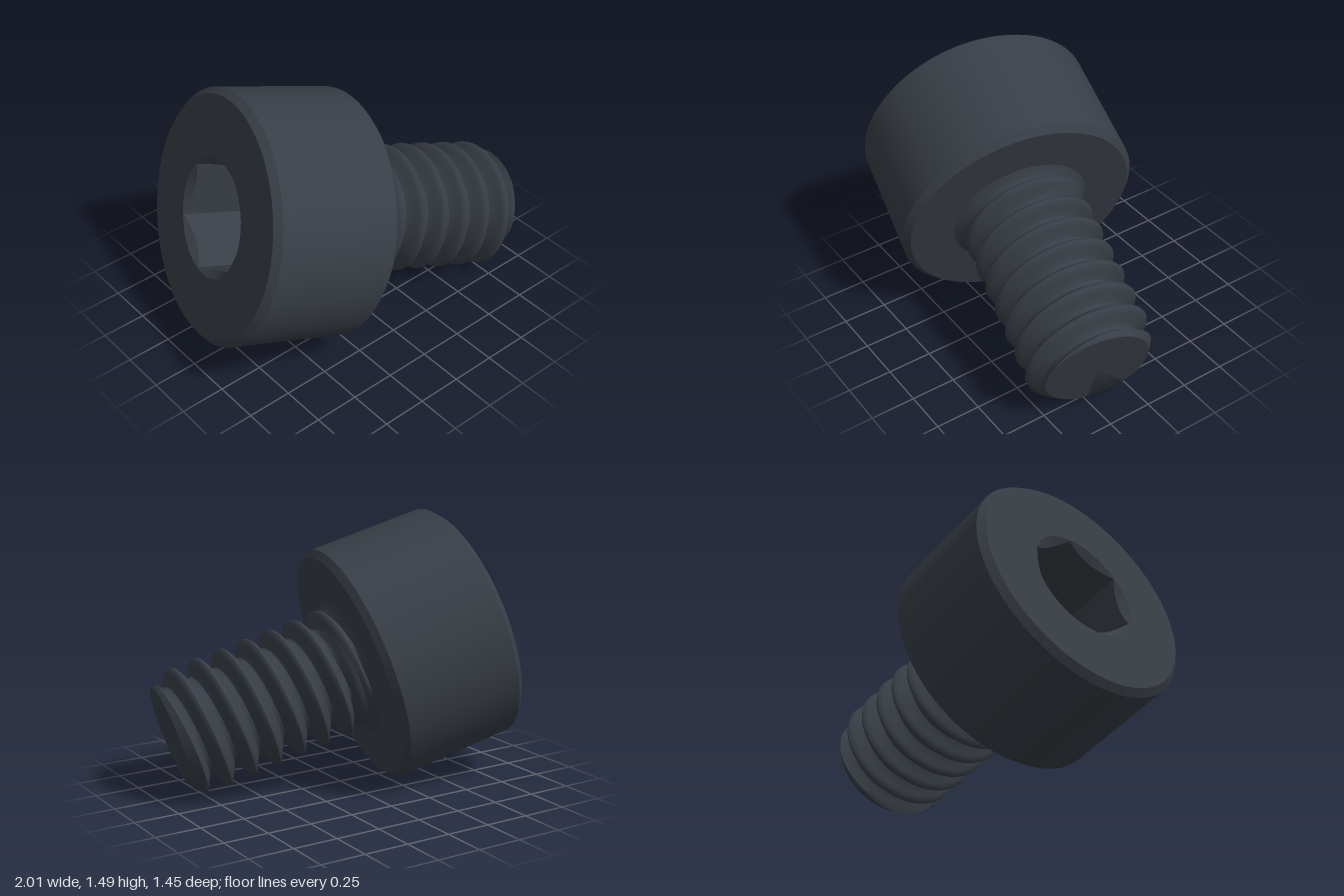
import * as THREE from 'three';
import { toCreasedNormals } from 'three/addons/utils/BufferGeometryUtils.js';

const { clamp, smoothstep } = THREE.MathUtils;
const TAU = Math.PI * 2;

// Surface around the y axis; at(i, angle) returns [radius, height] on row i.
function loft(rows, cols, at, crease) {
  const pos = [], index = [];
  for (let i = 0; i <= rows; i++) {
    for (let j = 0; j <= cols; j++) {
      const angle = (j % cols) / cols * TAU;
      const [r, y] = at(i, j / cols * TAU);
      pos.push(r * Math.cos(angle), y, r * Math.sin(angle));
      if (i < rows && j < cols) {
        const a = i * (cols + 1) + j, c = a + cols + 1;
        index.push(a, c, a + 1, c, c + 1, a + 1);
      }
    }
  }
  const geo = new THREE.BufferGeometry();
  geo.setAttribute('position', new THREE.Float32BufferAttribute(pos, 3));
  geo.setIndex(index);
  return toCreasedNormals(geo, crease);
}

// Head: chamfered cylinder, open where the socket sits
function headGeometry() {
  const profile = [[0.3, -0.035], [0.64, -0.035], [0.675, 0], [0.675, 0.663], [0.64, 0.698], [0.32, 0.698]];
  const geo = new THREE.LatheGeometry(profile.map(p => new THREE.Vector2(...p)), 96);
  return toCreasedNormals(geo, 0.4);
}

// Socket: round countersink running into a hexagonal hole with a flat floor
function socketGeometry() {
  const top = 0.698, depth = 0.35, rim = 0.32, flat = 0.273;
  return loft(3, 96, (i, angle) => {
    const local = angle % (TAU / 6) - TAU / 12;
    const hex = flat / Math.cos(local);
    if (i === 0) return [rim, top];
    if (i === 1) return [hex, top - (rim - hex) * 0.7];
    return [i === 2 ? hex : 0, top - depth];
  }, 0.4);
}

// Shank: right-hand helical thread, filleted under the head, chamfered at the tip
function shankGeometry() {
  const pitch = 0.1433, crestAt = 0.10, root = 0.267, crest = 0.356;
  const start = 0.035, end = 1.095, perPitch = 12;
  const radius = (s, angle) => {
    const turn = (s - crestAt) / pitch - angle / TAU;
    const t = Math.abs(turn - Math.round(turn)) * 2;
    const thread = crest - (crest - root) * smoothstep(t, 0.04, 0.92);
    const tip = 0.29 + (end - s) * 0.8;
    const u = clamp((s - start) / 0.05, 0, 1);
    const neck = 0.33 + 0.06 * (1 - u) ** 2 - 0.065 * smoothstep(s, 0.10, 0.17);
    return Math.max(neck, Math.min(thread, tip));
  };
  return loft(104, 96, (i, angle) => {
    if (i === 0) return [0, -end];
    const along = crestAt + 7 * pitch - (i - 1) * pitch / perPitch + pitch * angle / TAU;
    const s = clamp(along, start, end);
    return [radius(s, angle), -s];
  }, 0.7);
}

export function createModel() {
  const blackSteel = new THREE.MeshStandardMaterial({ color: 0x383e46 });
  blackSteel.name = 'blackSteel';

  const screw = new THREE.Group();
  screw.name = 'socketScrew';
  const parts = { head: headGeometry(), hexSocket: socketGeometry(), threadedShank: shankGeometry() };
  for (const [name, geo] of Object.entries(parts)) {
    const mesh = new THREE.Mesh(geo, blackSteel);
    mesh.name = name;
    screw.add(mesh);
  }

  // Tilt the screw so its tip points right, down and slightly forward
  const y = new THREE.Vector3(-0.935, 0.294, -0.196).normalize();
  const x = new THREE.Vector3(0, 1, 0).addScaledVector(y, -y.y).normalize();
  const z = new THREE.Vector3().crossVectors(x, y);
  screw.quaternion.setFromRotationMatrix(new THREE.Matrix4().makeBasis(x, y, z));
  screw.position.set(-0.125, 0.65, 0.06);

  const model = new THREE.Group();
  model.name = 'model';
  model.add(screw);
  return model;
}
